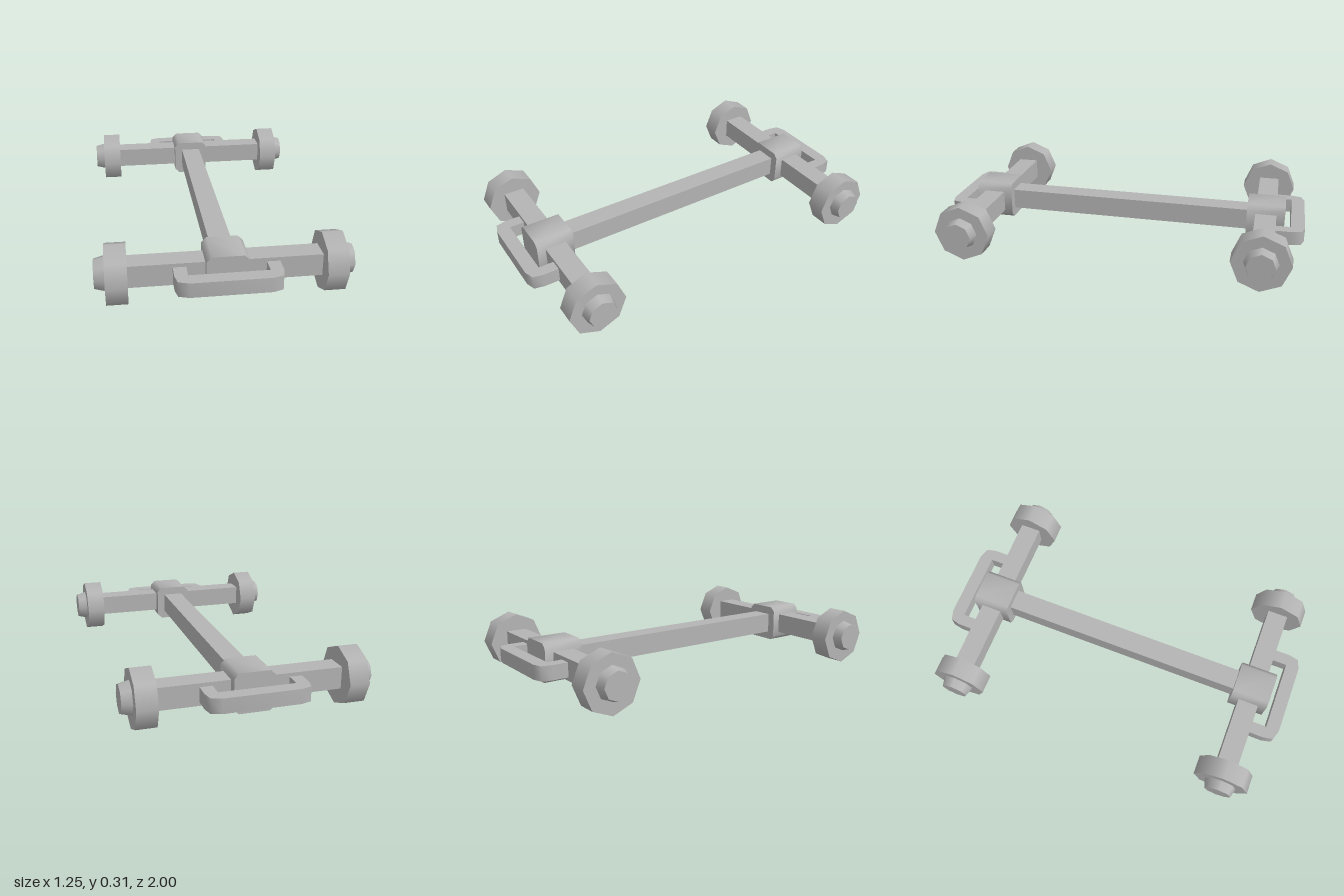
import * as THREE from 'three';
import { toCreasedNormals } from 'three/addons/utils/BufferGeometryUtils.js';

const AXLE_Y = 0.158, AXLE_Z = 0.79;

function extrude(points, depth, crease) {
  const shape = new THREE.Shape(points.map(([x, y]) => new THREE.Vector2(x, y)));
  const geo = new THREE.ExtrudeGeometry(shape, { depth, bevelEnabled: false });
  return toCreasedNormals(geo, crease);
}

export function createModel() {
  const grey = new THREE.MeshStandardMaterial({ color: 0xb4b4b4 });
  grey.name = 'grey metal';
  const model = new THREE.Group();
  model.name = 'chassis';

  function add(parent, name, geometry, x = 0, y = 0, z = 0) {
    const mesh = new THREE.Mesh(geometry, grey);
    mesh.name = name;
    mesh.position.set(x, y, z);
    parent.add(mesh);
    return mesh;
  }

  // Central beam joining both axles
  add(model, 'centreBeam', new THREE.BoxGeometry(0.114, 0.114, 1.4), 0, AXLE_Y, 0);

  // Chamfered block, profile in x and y
  const h = 0.103, c = 0.078;
  const blockGeo = extrude(
    [[-h, -c], [-c, -h], [c, -h], [h, -c], [h, c], [c, h], [-c, h], [-h, c]], 0.206, 0.9);

  // U-shaped bumper, profile in x and z
  const half = [[0.193, 1], [0.245, 0.983], [0.257, 0.93], [0.257, 0.82], [0.193, 0.82], [0.193, 0.927]];
  const mirrored = half.map(([x, z]) => [-x, z]).reverse();
  const bumperGeo = extrude([...half, ...mirrored], 0.076, 1.1);
  bumperGeo.rotateX(Math.PI / 2);

  // Octagonal wheel and its tapered hub, turned to lie along x
  const wheelGeo = new THREE.CylinderGeometry(0.153, 0.153, 0.104, 8).rotateZ(-Math.PI / 2);
  const hubGeo = new THREE.CylinderGeometry(0.074, 0.088, 0.052, 8).rotateZ(-Math.PI / 2);

  // The same axle assembly at the front and, turned round, at the back
  for (const end of ['front', 'back']) {
    const axle = new THREE.Group();
    axle.name = end + 'AxleAssembly';
    add(axle, 'axle', new THREE.BoxGeometry(0.96, 0.114, 0.114), 0, AXLE_Y, AXLE_Z);
    add(axle, 'axleBlock', blockGeo, 0, AXLE_Y, AXLE_Z - 0.103);
    add(axle, 'bumper', bumperGeo, 0, 0.196, 0);
    for (const side of [-1, 1]) {
      const wheel = new THREE.Group();
      wheel.name = 'wheel';
      wheel.position.set(side * 0.522, AXLE_Y - 0.005, AXLE_Z);
      if (side < 0) wheel.rotation.y = Math.PI;
      add(wheel, 'tyre', wheelGeo);
      add(wheel, 'hub', hubGeo, 0.078, 0.005, 0);
      axle.add(wheel);
    }
    if (end === 'back') axle.rotation.y = Math.PI;
    model.add(axle);
  }
  return model;
}
